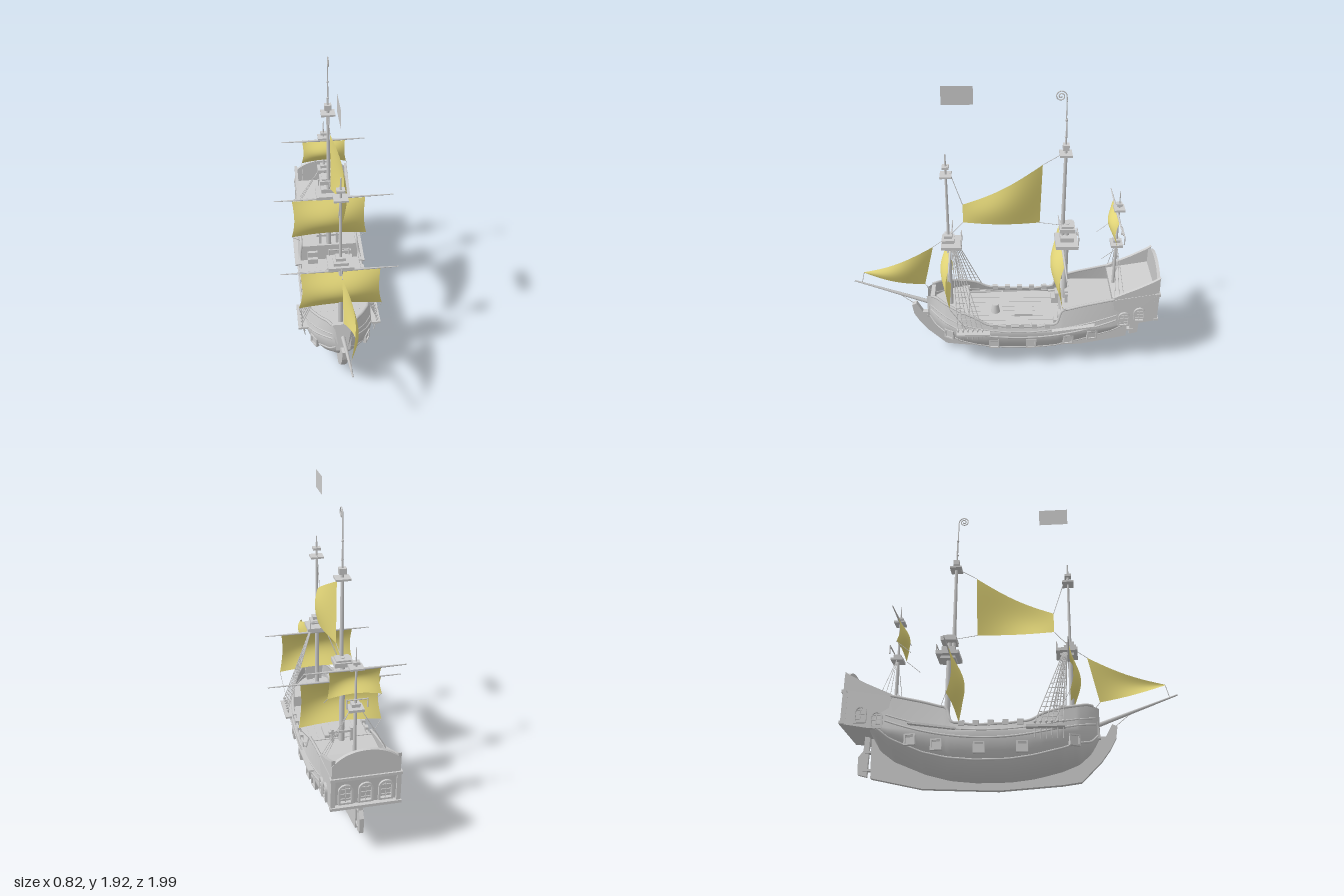
import * as THREE from 'three';
import { ConvexGeometry } from 'three/addons/geometries/ConvexGeometry.js';

const grey = new THREE.MeshStandardMaterial({ color: 0xcccccc, side: THREE.DoubleSide });
const cloth = new THREE.MeshStandardMaterial({ color: 0xe6d97a, side: THREE.DoubleSide });
const V = (x, y, z) => new THREE.Vector3(x, y, z);

// Hull stations: z, keel y, widest y, top y, greatest half width, top half width
const stations = [
  [0.525, 0.29, 0.36, 0.47, 0.035, 0.05], [0.47, 0.2, 0.34, 0.49, 0.1, 0.08],
  [0.4, 0.14, 0.32, 0.465, 0.165, 0.13], [0.3, 0.1, 0.3, 0.435, 0.212, 0.18],
  [0.2, 0.075, 0.29, 0.4, 0.226, 0.2], [0.13, 0.06, 0.29, 0.355, 0.23, 0.212],
  [0, 0.045, 0.29, 0.34, 0.23, 0.215], [-0.2, 0.045, 0.29, 0.335, 0.23, 0.215],
  [-0.34, 0.06, 0.29, 0.36, 0.226, 0.21], [-0.365, 0.065, 0.3, 0.45, 0.225, 0.195],
  [-0.5, 0.1, 0.31, 0.49, 0.22, 0.195], [-0.69, 0.18, 0.33, 0.535, 0.212, 0.195],
  [-0.78, 0.25, 0.35, 0.545, 0.205, 0.192], [-0.82, 0.32, 0.36, 0.55, 0.2, 0.19]];
function station(z) {
  let i = 0;
  while (i < stations.length - 2 && stations[i + 1][0] > z) i++;
  const a = stations[i], b = stations[i + 1];
  const t = THREE.MathUtils.clamp((z - a[0]) / (b[0] - a[0]), 0, 1);
  return a.map((v, k) => v + (b[k] - v) * t);
}
function halfAt(z, y) {
  const [, yb, ym, yt, hm, ht] = station(z);
  if (y >= ym) return THREE.MathUtils.lerp(hm, ht, Math.min(1, (y - ym) / (yt - ym)));
  const c = Math.min(1, (ym - y) / (ym - yb));
  return hm * Math.pow(1 - c * c, 0.5 * (1 + Math.max(0, -0.3 - z) * 1.8));
}

// Smooth sheet through a grid of points f(u, v)
function sheet(f, nu, nv) {
  const pos = [], idx = [];
  for (let i = 0; i <= nu; i++) for (let j = 0; j <= nv; j++) pos.push(...f(i / nu, j / nv).toArray());
  for (let i = 0; i < nu; i++) for (let j = 0; j < nv; j++) {
    const a = i * (nv + 1) + j, b = a + nv + 1;
    idx.push(a, b, a + 1, b, b + 1, a + 1);
  }
  const g = new THREE.BufferGeometry();
  g.setAttribute('position', new THREE.Float32BufferAttribute(pos, 3));
  g.setIndex(idx);
  g.computeVertexNormals();
  return g;
}

export function createModel() {
  const ship = new THREE.Group();
  ship.name = 'sailingShip';
  ship.position.x = -0.037;
  const add = (name, geo, x = 0, y = 0, z = 0, mat = grey) => {
    const m = new THREE.Mesh(geo, mat);
    m.name = name;
    m.position.set(x, y, z);
    ship.add(m);
    return m;
  };
  const box = (name, w, h, d, x, y, z) => add(name, new THREE.BoxGeometry(w, h, d), x, y, z);
  const spar = (name, a, b, r0, r1 = r0, n = 8) => {
    const m = add(name, new THREE.CylinderGeometry(r1, r0, a.distanceTo(b), n));
    m.position.copy(a).add(b).multiplyScalar(0.5);
    m.quaternion.setFromUnitVectors(V(0, 1, 0), b.clone().sub(a).normalize());
    return m;
  };
  const rope = (a, b, r = 0.0018) => spar('rope', a, b, r, r, 4);
  const tube = (name, pts, r, n = 60) => add(name, new THREE.TubeGeometry(new THREE.CatmullRomCurve3(pts), n, r, 6));
  // Flat plate drawn in (z, y), with thickness across x
  const plate = (name, pts, depth, x = 0) => {
    const s = new THREE.Shape(pts.map(p => new THREE.Vector2(...p)));
    const g = new THREE.ExtrudeGeometry(s, { depth, bevelEnabled: false });
    return add(name, g.translate(0, 0, -depth / 2).rotateY(-Math.PI / 2), x);
  };

  // Hull shell, from one rail under the keel to the other
  add('hull', sheet((u, v) => {
    const z = 0.525 - 1.345 * u, s = v < 0.5 ? -1 : 1, t = Math.abs(v - 0.5) * 2;
    const [, yb, ym, yt] = station(z);
    const y = t < 0.7 ? ym - (ym - yb) * Math.cos(t / 0.7 * Math.PI / 2) : ym + (yt - ym) * (t - 0.7) / 0.3;
    return V(s * halfAt(z, y), y, z);
  }, 110, 40));
  plate('keel', [[0.6, 0.385], [0.63, 0.37], [0.62, 0.3], [0.585, 0.235], [0.53, 0.16], [0.41, 0.04], [0.3, 0.025], [-0.07, 0],
    [-0.52, 0.02], [-0.83, 0.09], [-0.84, 0.33], [-0.78, 0.33], [-0.72, 0.25], [-0.5, 0.15], [-0.07, 0.08], [0.3, 0.13],
    [0.45, 0.24], [0.51, 0.31], [0.56, 0.31]], 0.036);
  plate('rudder', [[-0.855, 0.1], [-0.91, 0.115], [-0.915, 0.22], [-0.885, 0.26], [-0.88, 0.37], [-0.85, 0.37]], 0.026);
  for (const y of [0.14, 0.25]) box('rudderHinge', 0.034, 0.012, 0.05, 0, y, -0.855);
  add('beak', new ConvexGeometry([-1, 1].flatMap(s => [V(s * 0.062, 0.48, 0.47), V(s * 0.062, 0.48, 0.495),
    V(s * 0.045, 0.29, 0.47), V(s * 0.045, 0.29, 0.53)])));

  // Decks and bulkheads
  const deck = (name, z0, z1, y) => {
    const pts = [];
    for (const s of [1, -1]) for (let i = 0; i <= 12; i++) {
      const z = THREE.MathUtils.lerp(z0, z1, s > 0 ? i / 12 : 1 - i / 12);
      pts.push(new THREE.Vector2(s * (halfAt(z, y) - 0.003), z));
    }
    add(name, new THREE.ShapeGeometry(new THREE.Shape(pts)).rotateX(Math.PI / 2), 0, y, 0);
  };
  deck('mainDeck', 0.26, -0.37, 0.3);
  deck('foreDeck', 0.5, 0.25, 0.375);
  deck('quarterDeck', -0.365, -0.71, 0.42);
  box('foreBulkhead', 0.4, 0.075, 0.01, 0, 0.338, 0.252);
  box('quarterBulkhead', 0.4, 0.13, 0.01, 0, 0.36, -0.367);
  for (let i = 0; i < 7; i++) box('plankSeam', 0.003, 0.003, 0.6, -0.15 + i * 0.05, 0.301, -0.06);

  // Rails, wales, channels, gun ports and shrouds on both sides
  const opening = (name, w, h, arch, depth = 0.014) => {
    const g = new THREE.Group();
    g.name = name;
    const outline = (S, k) => {
      const a = w / 2 - k, b = h / 2 - k, s = new S();
      s.moveTo(-a, -b).lineTo(a, -b);
      if (arch) s.lineTo(a, b - a).absarc(0, b - a, a, 0, Math.PI, false);
      else s.lineTo(a, b).lineTo(-a, b);
      s.closePath();
      return s;
    };
    const ring = outline(THREE.Shape, 0);
    ring.holes.push(outline(THREE.Path, w * 0.14));
    g.add(new THREE.Mesh(new THREE.ExtrudeGeometry(ring, { depth, bevelEnabled: false, curveSegments: 8 }), grey));
    const bars = arch ? [[0.004, h * 0.9, 0], [w * 0.9, 0.004, 0], [w * 0.9, 0.004, -h / 4], [w * 0.8, 0.004, h / 4]]
      : [[w * 0.74, h * 0.74, 0]];
    for (const [bw, bh, y] of bars) {
      const m = new THREE.Mesh(new THREE.BoxGeometry(bw, bh, 0.005), grey);
      m.position.set(0, y, depth * 0.5);
      g.add(m);
    }
    ship.add(g);
    return g;
  };
  for (const s of [1, -1]) {
    const along = (z0, z1, yf) => Array.from({ length: 33 }, (_, i) => {
      const z = THREE.MathUtils.lerp(z0, z1, i / 32), y = yf(z);
      return V(s * halfAt(z, y), y, z);
    });
    tube('rail', along(0.49, -0.7, z => station(z)[3]), 0.009);
    tube('lowerWale', along(0.51, -0.78, z => station(z)[1] + 0.095 - Math.max(0, z - 0.4) * 0.5), 0.007);
    tube('upperWale', along(0.5, -0.72, z => 0.255 + 0.32 * (z + 0.1) ** 2), 0.006);
    tube('rubbingStrake', along(0.5, -0.72, z => 0.3 + 0.3 * (z + 0.1) ** 2), 0.005);
    for (let i = 0; i < 5; i++) {
      const z = 0.07 - i * 0.085;
      box('railBlock', 0.022, 0.032, 0.035, s * halfAt(z, 0.34), 0.345, z);
    }
    for (const [z, y] of [[0.37, 0.245], [0.08, 0.2], [-0.165, 0.2], [-0.41, 0.225], [-0.565, 0.26]]) {
      const p = opening('gunPort', 0.068, 0.068, false, 0.022);
      const slope = (halfAt(z + 0.03, y) - halfAt(z - 0.03, y)) / 0.06;
      p.position.set(s * (halfAt(z, y) - 0.008), y, z);
      p.rotation.y = Math.atan2(s, -slope);
    }
    box('foreChannel', 0.06, 0.014, 0.22, s * 0.238, 0.305, 0.215);
    box('mainChannel', 0.04, 0.012, 0.28, s * 0.227, 0.33, -0.44).rotation.x = 0.15;

    // Fore shrouds with ratlines
    const top = i => V(s * 0.045, 0.85, 0.345 - i * 0.004), foot = i => V(s * 0.245, 0.335, 0.315 - i * 0.032);
    for (let i = 0; i < 6; i++) {
      rope(foot(i), top(i), 0.0028);
      const eye = add('deadeye', new THREE.SphereGeometry(0.009, 8, 6));
      eye.position.copy(foot(i));
      spar('chainPlate', V(s * 0.225, 0.24, foot(i).z), foot(i), 0.003);
    }
    for (let j = 1; j < 14; j++) rope(foot(0).lerp(top(0), j / 15), foot(5).lerp(top(5), j / 15), 0.002);
    for (let i = 0; i < 3; i++) rope(V(s * 0.19, 0.55, -0.7 - i * 0.03), V(s * 0.03, 0.84, -0.715));

    // Poop side walls and side windows
    plate('poopSide', [[-0.69, 0.515], [-0.69, 0.545], [-0.85, 0.62], [-0.95, 0.675], [-0.985, 0.7], [-0.975, 0.57]], 0.02, s * 0.186);
    for (const [z, y] of [[-0.77, 0.385], [-0.868, 0.42]]) {
      const w = opening('sideWindow', 0.075, 0.105, true);
      w.position.set(s * 0.2, y, z);
      w.rotation.y = s * Math.PI / 2;
    }
    box('sternPilaster', 0.025, 0.2, 0.03, s * 0.188, 0.475, -0.972);
    box('stair', 0.07, 0.04, 0.05, s * 0.12, 0.32, -0.34);
    box('stair', 0.07, 0.08, 0.025, s * 0.12, 0.34, -0.353);
  }

  // Stern gallery, its windows and the arched stern board
  add('sternGallery', new ConvexGeometry([-1, 1].flatMap(s => [V(s * 0.203, 0.32, -0.725), V(s * 0.2, 0.53, -0.69),
    V(s * 0.2, 0.365, -0.965), V(s * 0.198, 0.58, -0.98)])));
  for (const x of [-0.115, 0, 0.115]) {
    const w = opening('sternWindow', 0.085, 0.13, true, 0.02);
    w.position.set(x, 0.465, -0.968);
    w.rotation.y = Math.PI;
  }
  for (const y of [0.378, 0.572]) box('galleryMoulding', 0.41, 0.018, 0.03, 0, y, -0.98);
  const board = new THREE.Shape().moveTo(-0.195, 0.57).lineTo(0.195, 0.57).lineTo(0.195, 0.66);
  board.quadraticCurveTo(0.12, 0.745, 0, 0.745).quadraticCurveTo(-0.12, 0.745, -0.195, 0.66);
  add('sternBoard', new THREE.ExtrudeGeometry(board, { depth: 0.02, bevelEnabled: false }), 0, 0, -0.985);

  // Deck fittings
  add('capstan', new THREE.CylinderGeometry(0.02, 0.032, 0.06, 12), 0, 0.33, 0.07);
  box('hatch', 0.12, 0.02, 0.12, 0, 0.31, -0.12);
  for (const x of [-0.06, 0.06]) box('bittPost', 0.018, 0.1, 0.018, x, 0.46, -0.4);
  box('bittBeam', 0.17, 0.015, 0.02, 0, 0.49, -0.4);

  // Masts with platforms: [y, width, height, depth, z]
  const mast = (name, z, segments, tops) => {
    for (const [y0, y1, r0, r1, dz = 0] of segments) spar(name, V(0, y0, z + dz), V(0, y1, z + dz), r0, r1, 10);
    for (const [y, w, h, dz = 0] of tops) box(name + 'Platform', w, h, w * 0.85, 0, y, z + dz);
  };
  mast('foreMast', 0.367, [[0.3, 0.92, 0.016, 0.013], [0.85, 1.42, 0.01, 0.007], [1.4, 1.49, 0.006, 0.004]],
    [[0.835, 0.1, 0.016, -0.02], [0.858, 0.155, 0.02, -0.02], [0.888, 0.09, 0.02], [0.915, 0.06, 0.02], [1.35, 0.085, 0.012], [1.405, 0.05, 0.016]]);
  mast('mainMast', -0.39, [[0.3, 1.0, 0.019, 0.015], [0.9, 1.55, 0.013, 0.01, 0.028], [1.5, 1.72, 0.007, 0.004, 0.03],
    [1.7, 1.83, 0.004, 0.003, 0.034]],
    [[0.84, 0.11, 0.016], [0.862, 0.17, 0.022], [0.9, 0.1, 0.03], [0.97, 0.115, 0.028], [0.99, 0.09, 0.012], [1.49, 0.09, 0.012, 0.028], [1.535, 0.045, 0.035, 0.028]]);
  mast('mizzenMast', -0.713, [[0.53, 0.87, 0.011, 0.009], [0.84, 1.13, 0.008, 0.006], [1.1, 1.23, 0.006, 0.002]],
    [[0.845, 0.09, 0.016], [0.87, 0.05, 0.02], [1.105, 0.08, 0.012], [1.135, 0.04, 0.016]]);
  for (const [z, y] of [[0.285, 0.865], [-0.462, 0.875], [-0.755, 0.88]]) {
    for (const x of [-0.06, 0.06]) spar('topPost', V(x, y - 0.01, z), V(x, y + 0.05, z), 0.004);
    spar('topRail', V(-0.06, y + 0.045, z), V(0.06, y + 0.045, z), 0.004);
  }
  for (const y of [1.6, 1.71]) add('finial', new THREE.SphereGeometry(0.008, 10, 8), 0, y, -0.358);
  tube('mastCurl', [V(0, 1.8, -0.356), ...Array.from({ length: 30 }, (_, i) => {
    const a = i * 0.43, r = 0.034 * (1 - i / 34);
    return V(0, 1.86 + r * Math.sin(a), -0.32 - r * Math.cos(a));
  })], 0.0035, 120);
  add('flag', new THREE.PlaneGeometry(0.188, 0.115).rotateY(Math.PI / 2), 0, 1.867, 0.283);

  // Bowsprit and yards
  spar('bowsprit', V(0, 0.365, 0.46), V(0, 0.565, 0.998), 0.015, 0.005);
  for (const [name, y, z, l, r] of [['foreYard', 0.805, 0.358, -0.363, 0.357], ['mainYard', 0.83, -0.365, -0.373, 0.445],
    ['mizzenYard', 1.085, -0.7, -0.293, 0.287]]) {
    const c = (l + r) / 2;
    spar(name, V(c, y, z), V(l, y, z), 0.009, 0.003);
    spar(name, V(c, y, z), V(r, y, z), 0.009, 0.003);
  }

  // Sails: four corners, a belly, and a raised foot
  const sail = (name, a, b, c, d, belly, lift = 0.02, edge = 0.35) => add(name, sheet((u, v) => {
    const su = Math.sin(Math.PI * u), sv = Math.sin(Math.PI * v);
    const p = a.clone().lerp(b, u).lerp(d.clone().lerp(c, u), v);
    p.addScaledVector(belly, edge < 0 ? su * (0.75 + 0.25 * sv) : sv * (edge + (1 - edge) * su));
    if (edge >= 0) p.x *= 1 - 0.06 * sv;
    p.y += lift * su * v;
    return p;
  }, 20, 16), 0, 0, 0, cloth);
  const square = (name, z, yt, yb, wt, wb, belly) => {
    sail(name, V(-wt, yt, z), V(wt, yt, z), V(wb, yb, z), V(-wb, yb, z), V(0, 0, belly));
    return [-1, 1].map(s => V(s * wb, yb, z));
  };
  for (const p of square('foreSail', 0.362, 0.8, 0.52, 0.245, 0.262, 0.065)) rope(p, V(p.x * 0.88, 0.33, 0.26));
  for (const p of square('mainSail', -0.358, 0.825, 0.52, 0.25, 0.262, 0.065)) rope(p, V(p.x * 0.75, 0.45, -0.4));
  for (const p of square('mizzenSail', -0.695, 1.08, 0.91, 0.148, 0.157, 0.045)) rope(p, V(p.x, 0.83, -0.6));
  sail('staySail', V(0, 1.415, -0.225), V(0, 1.14, 0.27), V(0, 1.01, 0.27), V(0, 1.005, -0.215), V(0.075, 0, 0), 0.02, -1);
  sail('jib', V(0, 0.825, 0.47), V(0, 0.632, 0.93), V(0, 0.628, 0.93), V(0, 0.53, 0.535), V(0.065, 0, 0), 0.01, -1);

  // Stays
  for (const [y0, z0, y1, z1] of [[1.415, -0.225, 1.5, -0.36], [1.14, 0.27, 1.36, 0.34], [1.01, 0.27, 0.9, 0.37],
    [1.005, -0.215, 0.98, -0.38], [0.825, 0.47, 0.9, 0.37], [0.63, 0.93, 0.55, 0.95], [0.53, 0.535, 0.46, 0.48],
    [0.46, 0.72, 0.36, 0.6]]) rope(V(0, y0, z0), V(0, y1, z1), 0.0022);
  return ship;
}
